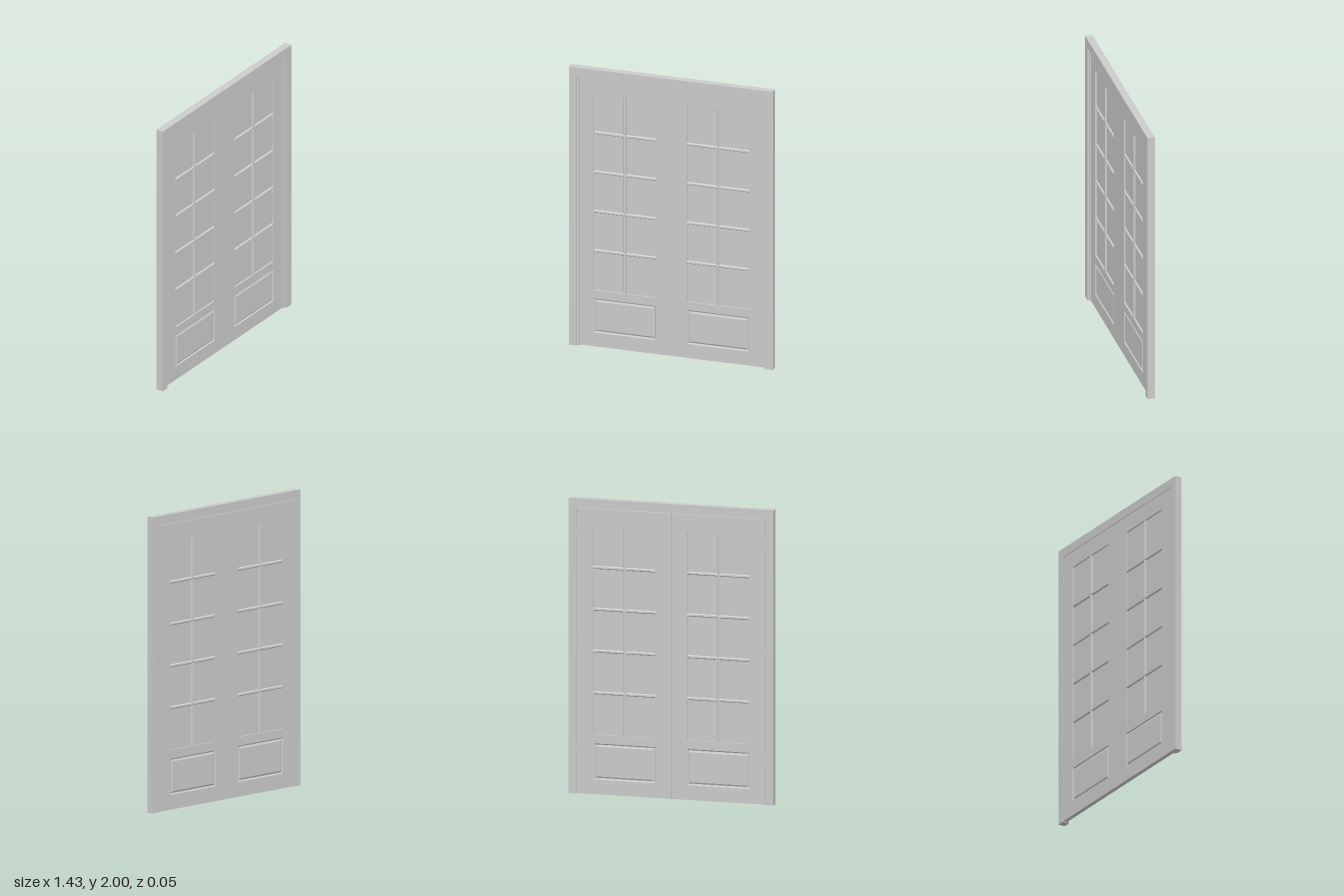
import * as THREE from 'three';

const mat = new THREE.MeshStandardMaterial({ color: 0xcccccc, flatShading: true });
const BACK = -0.023, FRONT = 0.006;          // door faces in z
const MID = (BACK + FRONT) / 2, HALF = (FRONT - BACK) / 2;
const MEET = -0.0025, GAP = 0.0015;          // meeting line of the two leaves
const WIN = { x: 0.326, w: 0.434, y0: 0.406, y1: 1.82 };
const PANEL = { w: 0.434, y0: 0.103, y1: 0.347 };

function add(parent, name, geometry, x = 0, y = 0, z = 0) {
  const mesh = new THREE.Mesh(geometry, mat);
  mesh.name = name;
  mesh.position.set(x, y, z);
  parent.add(mesh);
  return mesh;
}

function box(parent, name, x0, x1, y0, y1, z0, z1) {
  return add(parent, name, new THREE.BoxGeometry(x1 - x0, y1 - y0, z1 - z0),
    (x0 + x1) / 2, (y0 + y1) / 2, (z0 + z1) / 2);
}

const points = (list) => list.map(([x, y]) => new THREE.Vector2(x, y));
const rect = (x0, x1, y0, y1) => points([[x0, y0], [x1, y0], [x1, y1], [x0, y1]]);
const extrude = (shape, depth) => new THREE.ExtrudeGeometry(shape, { depth, bevelEnabled: false });

// Upside-down U: outer and inner half-widths and heights
function archway(outX, outY, inX, inY, depth) {
  return extrude(new THREE.Shape(points([
    [-outX, 0], [-inX, 0], [-inX, inY], [inX, inY],
    [inX, 0], [outX, 0], [outX, outY], [-outX, outY]])), depth);
}

// Rectangular rings stepping inward; each step is [inset, z], the last is filled
function steppedPanel(w, h, steps) {
  const pos = [];
  const ring = ([d, z]) => [[-1, -1], [1, -1], [1, 1], [-1, 1]]
    .map(([a, b]) => [a * (w / 2 - d), b * (h / 2 - d), z]);
  const quad = (a, b, c, d) => pos.push(...a, ...b, ...c, ...a, ...c, ...d);
  for (let i = 0; i < steps.length - 1; i++) {
    const o = ring(steps[i]), n = ring(steps[i + 1]);
    for (let k = 0; k < 4; k++) quad(o[k], o[(k + 1) % 4], n[(k + 1) % 4], n[k]);
  }
  quad(...ring(steps[steps.length - 1]));
  const g = new THREE.BufferGeometry();
  g.setAttribute('position', new THREE.Float32BufferAttribute(pos, 3));
  g.computeVertexNormals();
  return g;
}

// Glazing bar with bevelled faces front and back, centred, running along z
function barGeometry(length) {
  const h = HALF - 0.001, n = 0.005, w = 0.011, s = 0.005;
  const g = extrude(new THREE.Shape(points([
    [-n, -h], [n, -h], [w, -s], [w, s], [n, h], [-n, h], [-w, s], [-w, -s]])), length);
  g.translate(0, 0, -length / 2);
  return g;
}

function createLeaf(side) {
  const leaf = new THREE.Group();
  leaf.name = side > 0 ? 'leftDoor' : 'rightDoor';
  const inner = MEET + side * GAP, outer = side * 0.657;
  const cx = MEET + side * WIN.x;
  const x0 = cx - WIN.w / 2, x1 = cx + WIN.w / 2;

  // Stiles and rails in one piece with openings for glass and lower panel
  const shape = new THREE.Shape(rect(Math.min(inner, outer), Math.max(inner, outer), 0.003, 1.935));
  shape.holes.push(new THREE.Path(rect(x0, x1, WIN.y0, WIN.y1)));
  shape.holes.push(new THREE.Path(rect(x0, x1, PANEL.y0, PANEL.y1)));
  add(leaf, 'doorFrame', extrude(shape, FRONT - BACK), 0, 0, BACK);

  // Glass and glazing bars
  box(leaf, 'glass', x0, x1, WIN.y0, WIN.y1, MID - 0.003, MID + 0.003);
  const height = WIN.y1 - WIN.y0;
  add(leaf, 'verticalBar', barGeometry(height), cx, (WIN.y0 + WIN.y1) / 2, MID).rotation.x = Math.PI / 2;
  for (let i = 1; i < 5; i++) {
    const bar = add(leaf, 'horizontalBar', barGeometry(WIN.w), cx, WIN.y0 + height * i / 5, MID);
    bar.rotation.set(0, Math.PI / 2, Math.PI / 2);
  }

  // Raised lower panel, same on both faces
  const panel = steppedPanel(PANEL.w, PANEL.y1 - PANEL.y0,
    [[0, HALF], [0.007, HALF - 0.007], [0.011, HALF - 0.007], [0.021, HALF - 0.001]]);
  for (const turn of [0, Math.PI]) {
    add(leaf, 'lowerPanel', panel, cx, (PANEL.y0 + PANEL.y1) / 2, MID).rotation.y = turn;
  }

  // Hinges on the back edge
  for (const y of [0.31, 1.04, 1.77]) {
    add(leaf, 'hingeKnuckle', new THREE.CylinderGeometry(0.005, 0.005, 0.06, 12), side * 0.658, y, -0.02);
    const a = side * 0.645, b = side * 0.659;
    box(leaf, 'hingeLeaf', Math.min(a, b), Math.max(a, b), y - 0.028, y + 0.028, BACK - 0.0006, BACK + 0.002);
  }
  return leaf;
}

export function createModel() {
  const model = new THREE.Group();
  model.name = 'doubleDoor';

  // Casing and the stop the leaves close against
  add(model, 'doorCasing', archway(0.713, 2, 0.66, 1.938, 0.05), 0, 0, -0.025);
  add(model, 'doorStop', archway(0.661, 1.939, 0.645, 1.92, 0.009), 0, 0, FRONT);

  // Two leaves; the joint is closed at the front by a rebate
  for (const side of [-1, 1]) model.add(createLeaf(side));
  box(model, 'meetingRebate', MEET - GAP, MEET + GAP, 0.003, 1.935, MID, FRONT);
  return model;
}
